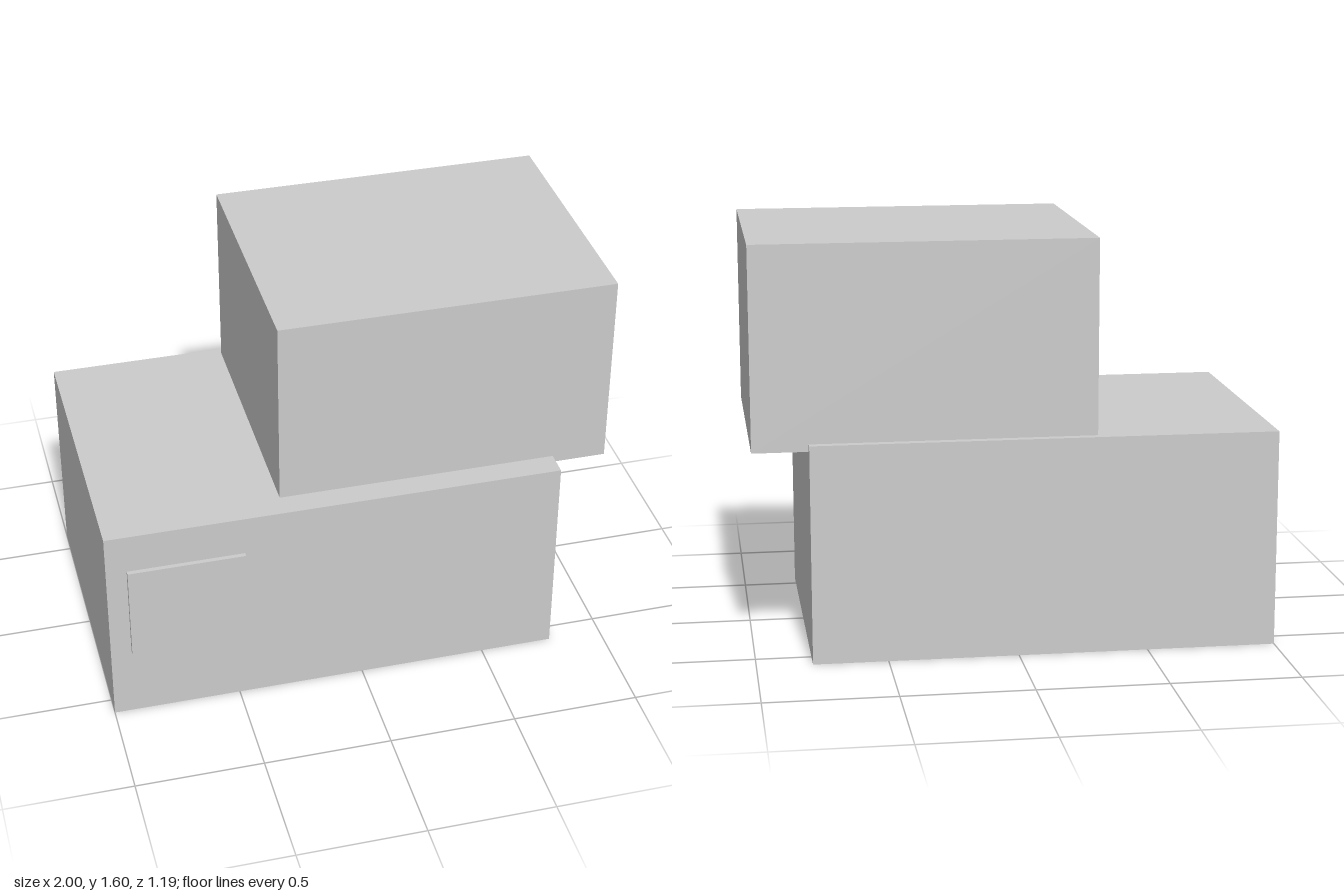
import * as THREE from 'three';

const material = new THREE.MeshStandardMaterial({ color: 0xcccccc, flatShading: true });

// Box spanning two opposite corners
function block(name, min, max) {
  const size = max.map((v, i) => v - min[i]);
  const mesh = new THREE.Mesh(new THREE.BoxGeometry(...size), material);
  mesh.position.set(...max.map((v, i) => (v + min[i]) / 2));
  mesh.name = name;
  return mesh;
}

export function createModel() {
  const group = new THREE.Group();
  group.name = 'stackedBlockBuilding';
  group.add(
    // Ground storey
    block('lowerStorey', [-1, 0, -0.594], [0.787, 0.845, 0.576]),
    // Upper storey, overhanging on the left and slightly sunk into the lower one
    block('upperStorey', [-0.305, 0.817, -0.561], [1, 1.595, 0.477]),
    // Thin raised panel on the front wall
    block('windowPanel', [-0.92, 0.297, 0.566], [-0.465, 0.685, 0.594]),
  );
  return group;
}
